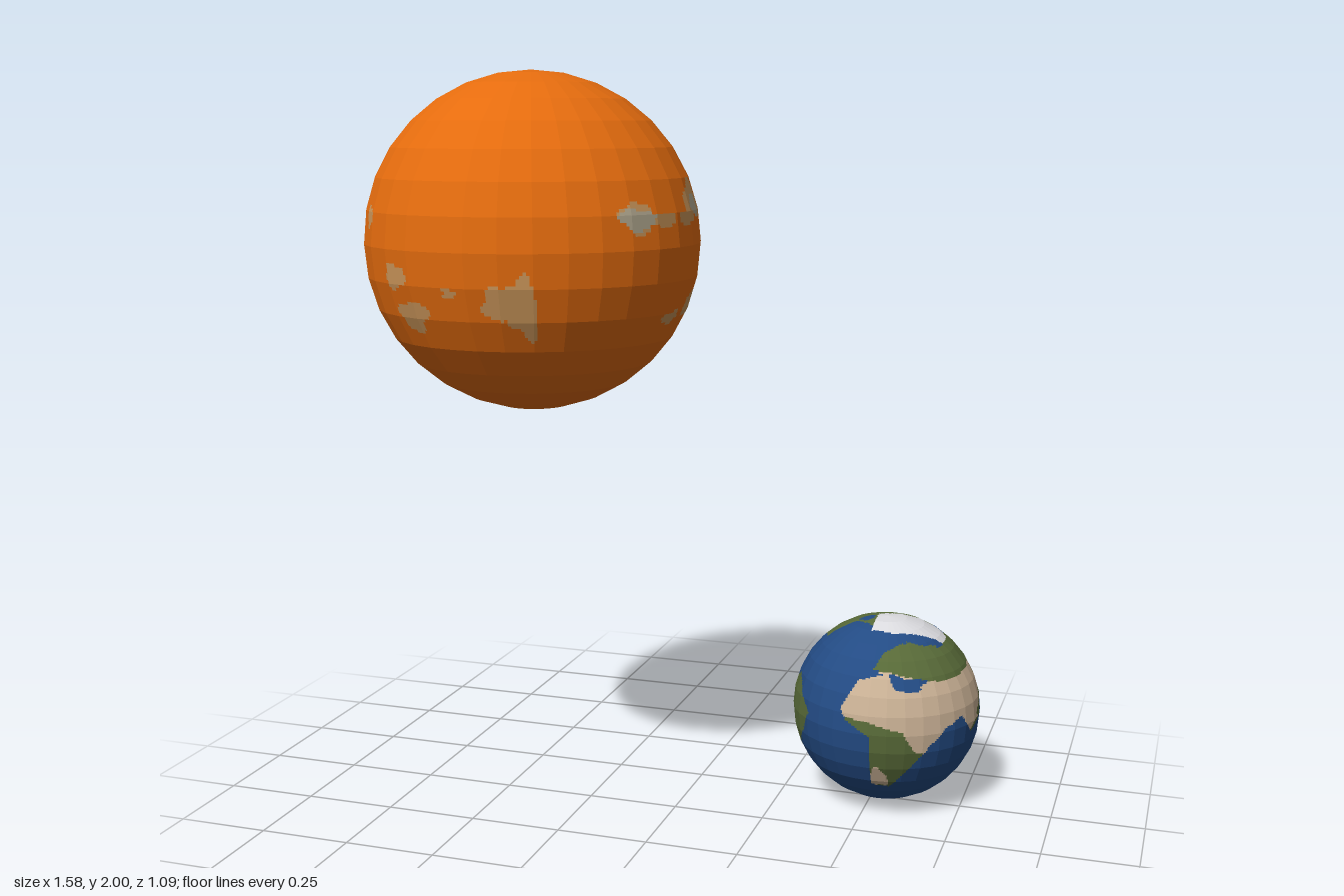
import * as THREE from 'three';

const mat = (name, color) => {
  const m = new THREE.MeshStandardMaterial({ color });
  m.name = name;
  return m;
};

// Flat projections used to draw patches: each returns [u, v, depth]
const VIEWS = {
  front: p => [p.x, p.y, p.z],
  back: p => [-p.x, p.y, -p.z],
  right: p => [-p.z, p.y, p.x],
  left: p => [p.z, p.y, -p.x],
  top: p => [p.x, p.z, p.y],
  bottom: p => [p.x, p.z, -p.y],
};

// Patch inside an outline given as u, v pairs in percent of the radius
const outline = (view, index, ...pts) => ({
  view, index,
  covers(u, v) {
    let hit = false;
    for (let i = 0, j = pts.length - 2; i < pts.length; j = i, i += 2) {
      const [xi, yi, xj, yj] = [pts[i], pts[i + 1], pts[j], pts[j + 1]];
      if ((yi > v) !== (yj > v) && u < ((xj - xi) * (v - yi)) / (yj - yi) + xi) hit = !hit;
    }
    return hit;
  },
});

// Oval patch with a wavy rim
const blob = (view, index, cu, cv, ru, rv) => ({
  view, index,
  covers(u, v) {
    const x = (u - cu) / ru, y = (v - cv) / rv, a = Math.atan2(y, x);
    return Math.hypot(x, y) < 1 + 0.15 * Math.sin(3 * a + cu) + 0.1 * Math.sin(5 * a + cv);
  },
});

// Later patches lie over earlier ones; colour 2 only shows on top of colour 1
function colourAt(patches, p) {
  let c = 0;
  for (const { view, index, covers } of patches) {
    if (index === 2 && c !== 1) continue;
    const [u, v, depth] = VIEWS[view](p);
    if (depth > 0 && covers(u * 100, v * 100)) c = index;
  }
  return c;
}

const W = 32, H = 16, N = 10;

// Faceted globe; facets crossed by a patch edge are split into small cells
function globe(name, radius, patches, materials) {
  const faces = materials.map(() => []);
  const corner = (i, j) => {
    const a = (i / W) * Math.PI * 2, t = (j / H) * Math.PI;
    return new THREE.Vector3(Math.sin(t) * Math.sin(a), Math.cos(t), Math.sin(t) * Math.cos(a));
  };
  const tri = (out, a, b, c) => {
    if (Math.min(a.distanceTo(b), b.distanceTo(c), c.distanceTo(a)) < 1e-6) return;
    for (const p of [a, b, c]) out.push(p.x * radius, p.y * radius, p.z * radius);
  };
  for (let j = 0; j < H; j++) for (let i = 0; i < W; i++) {
    const [tl, tr, bl, br] = [corner(i, j), corner(i + 1, j), corner(i, j + 1), corner(i + 1, j + 1)];
    const at = (s, t) => tl.clone().lerp(tr, s).lerp(bl.clone().lerp(br, s), t);
    const quad = (c, s0, t0, s1, t1) => {
      const a = at(s0, t0), d = at(s1, t1);
      tri(faces[c], a, at(s0, t1), d);
      tri(faces[c], a, d, at(s1, t0));
    };
    const cells = [];
    for (let k = 0; k < N * N; k++) {
      const s = ((k % N) + 0.5) / N, t = (Math.floor(k / N) + 0.5) / N;
      cells.push(colourAt(patches, at(s, t).normalize()));
    }
    if (cells.every(c => c === cells[0])) { quad(cells[0], 0, 0, 1, 1); continue; }
    cells.forEach((c, k) => {
      const s = k % N, t = Math.floor(k / N);
      quad(c, s / N, t / N, (s + 1) / N, (t + 1) / N);
    });
  }
  const geo = new THREE.BufferGeometry();
  let start = 0;
  faces.forEach((f, k) => {
    geo.addGroup(start, f.length / 3, k);
    start += f.length / 3;
  });
  geo.setAttribute('position', new THREE.Float32BufferAttribute(faces.flat(), 3));
  geo.computeVertexNormals();
  const mesh = new THREE.Mesh(geo, materials);
  mesh.name = name;
  return mesh;
}

// Small planet colours
const SEA = 0, LAND = 1, SAND = 2, ICE = 3;

// Lands and ice around the north pole
const north = () => [
  outline('top', LAND, 5, 80, 15, 66, 34, 59, 28, 43, 54, 36, 67, 0, 51, -39, 87, -30, 87, 15, 51, 72),
  outline('top', LAND, -89, -26, -60, -41, 45, -38, 38, -15, -7, 30, -31, 11, -62, 16, -72, -13),
  blob('top', SEA, -21, 6, 8, 7),
  blob('top', SAND, -55, -32, 24, 10),
  outline('top', ICE, -11, 36, 15, 38, 62, 11, 62, -18, 39, -31, -11, -7),
];

// Broad eastern land, inland sea and the land to its south
const east = () => [
  outline('right', LAND, -94, 39, -55, 76, 31, 80, 45, 69, 35, 29, 10, 4, -27, -10, -45, 12, -65, 4, -82, -18, -98, 0),
  outline('right', SAND, -98, 28, -76, 48, 30, 55, 18, 25, -4, 10, -27, -8, -98, -18),
  outline('front', LAND, 0, 63, 8, 78, 24, 85, 55, 80, 80, 52, 40, 50, 20, 64),
  blob('front', SEA, 37, 50, 17, 6),
  outline('front', LAND, -31, 24, -14, 53, 16, 61, 24, 47, 69, 36, 69, -4, 49, -29, 20, -63, 2, -61, 2, -2, -24, 12),
  outline('front', SAND, -35, 17, -25, 62, 16, 62, 60, 52, 95, 45, 100, 0, 58, -22, 47, -18, 35, 4, 0, 13),
  blob('front', SAND, 9, -51, 10, 12),
];

// Western land, southern island, islets and south cap
const south = () => [
  outline('left', LAND, -30, 38, 0, 22, 33, 39, 50, 28, 72, 8, 62, -16, 38, -39, 20, -75, 8, -50, 5, 15, -22, 42),
  blob('right', LAND, 55, -56, 27, 14),
  blob('right', SAND, 53, -57, 22, 12),
  blob('right', LAND, 10, -24, 4, 4),
  blob('right', LAND, 30, -26, 4, 4),
  blob('right', LAND, 67, -22, 5, 4),
  blob('bottom', ICE, -14, -13, 33, 30),
];

// Large planet: 1 tan patch, 2 grey heart of a patch
const marks = () => [
  blob('front', 1, -74, 17, 4, 6),
  blob('front', 1, -49, -15, 8, 7),
  blob('front', 1, -38, -37, 11, 9),
  blob('front', 1, -11, -23, 4, 3),
  blob('front', 1, 21, -28, 13, 9),
  blob('front', 1, 30, -30, 9, 17),
  blob('right', 1, -51, 18, 9, 9),
  blob('right', 1, -32, 16, 12, 4),
  blob('right', 2, -50, 17, 12, 6),
  blob('right', 1, 10, 26, 15, 10),
  blob('right', 1, 28, 22, 10, 6),
  blob('right', 1, -5, 16, 12, 4),
  blob('right', 2, 11, 23, 7, 7),
  blob('right', 1, 61, 24, 13, 7),
  blob('right', 1, 72, 18, 6, 14),
  blob('right', 2, 71, 16, 5, 8),
  blob('right', 1, -13, -41, 9, 4),
  blob('right', 1, 16, -36, 13, 7),
  blob('right', 1, 31, -43, 13, 6),
  blob('right', 2, 31, -44, 13, 5),
  blob('back', 1, -7, 25, 9, 11),
  blob('back', 2, -5, 24, 4, 7),
  blob('back', 1, -22, -38, 8, 8),
  blob('back', 1, 46, -32, 3, 3),
];

export function createModel() {
  const group = new THREE.Group();
  group.name = 'twoPlanets';

  const large = globe('largeOrangePlanet', 0.4375, marks(),
    [mat('orange ground', 0xe56c0e), mat('tan patch', 0xcb965a), mat('grey patch', 0xb0a68e)]);
  large.position.set(-0.353, 1.5625, 0.108);

  const small = globe('smallBluePlanet', 0.26, [...north(), ...east(), ...south()],
    [mat('sea blue', 0x234b84), mat('land green', 0x586a38), mat('sand', 0xcbb296), mat('ice white', 0xdcdce0)]);
  small.position.set(0.53, 0.26, -0.288);

  group.add(large, small);
  return group;
}
